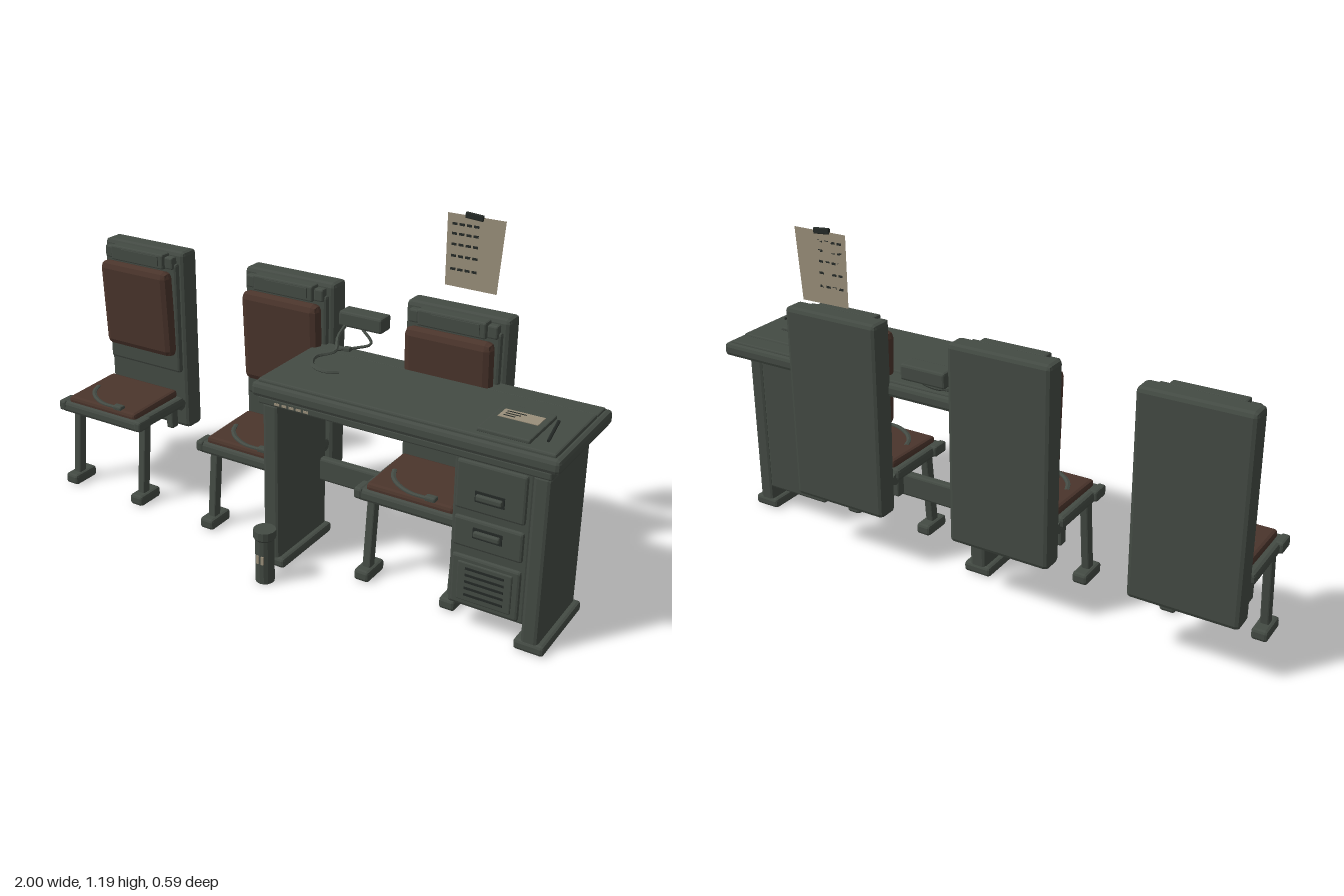
import * as THREE from 'three';
import { RoundedBoxGeometry } from 'three/addons/geometries/RoundedBoxGeometry.js';

const mat = (name, color, extra = {}) => {
  const m = new THREE.MeshStandardMaterial({ color, flatShading: true, ...extra });
  m.name = name;
  return m;
};

export function createModel() {
  const metal = mat('grey green metal', 0x444b44);
  const leather = mat('brown leather', 0x4b352c);
  const paper = mat('aged paper', 0x9a8f7a, { side: THREE.DoubleSide });
  const dark = mat('dark detail', 0x252a27);
  const root = new THREE.Group();

  const add = (parent, name, geo, material, x = 0, y = 0, z = 0) => {
    const m = new THREE.Mesh(geo, material);
    m.name = name;
    m.position.set(x, y, z);
    parent.add(m);
    return m;
  };
  // Box from its limits, with chamfered edges when c > 0
  const box = (parent, name, [x0, x1], [y0, y1], [z0, z1], c = 0, material = metal) => {
    const w = x1 - x0, h = y1 - y0, d = z1 - z0;
    const geo = c ? new RoundedBoxGeometry(w, h, d, 1, c) : new THREE.BoxGeometry(w, h, d);
    return add(parent, name, geo, material, (x0 + x1) / 2, (y0 + y1) / 2, (z0 + z1) / 2);
  };
  const tube = (parent, name, pts, r, material = metal) =>
    add(parent, name, new THREE.TubeGeometry(
      new THREE.CatmullRomCurve3(pts.map(p => new THREE.Vector3(...p))), 20, r, 6), material);

  // ---- Chairs ----
  function chair(cx) {
    const g = new THREE.Group();
    g.name = 'chair';
    g.position.x = cx;
    box(g, 'backBoard', [-0.183, 0.183], [0.2, 0.895], [-0.283, -0.203], 0.015);
    box(g, 'backFrame', [-0.165, 0.165], [0.43, 0.855], [-0.205, -0.18], 0.01);
    box(g, 'headRail', [-0.12, 0.12], [0.832, 0.888], [-0.205, -0.16], 0.006);
    box(g, 'headRailPlate', [-0.07, 0.1], [0.845, 0.88], [-0.161, -0.155], 0);
    for (const s of [-1, 1]) box(g, 'headRailEnd', [s * 0.138 - 0.018, s * 0.138 + 0.018], [0.835, 0.88], [-0.2, -0.17], 0.006);
    const back = box(g, 'backCushion', [-0.155, 0.155], [0.498, 0.832], [-0.188, -0.135], 0.025, leather);
    back.rotation.x = 0.05;

    // Seat pan, rails and cushion
    box(g, 'seatPan', [-0.182, 0.182], [0.298, 0.34], [-0.18, 0.095], 0.012);
    for (const s of [-1, 1]) {
      box(g, 'seatRail', [s * 0.178 - 0.015, s * 0.178 + 0.015], [0.303, 0.342], [0.03, 0.098], 0.008);
      const hinge = add(g, 'hinge', new THREE.CylinderGeometry(0.022, 0.022, 0.04, 8), metal, s * 0.15, 0.305, -0.178);
      hinge.rotation.z = Math.PI / 2;
      box(g, 'hingeBracket', [s * 0.15 - 0.015, s * 0.15 + 0.015], [0.225, 0.31], [-0.16, -0.125], 0.006);
      // Slanted leg and foot
      const leg = box(g, 'leg', [s * 0.156 - 0.015, s * 0.156 + 0.015], [0.02, 0.31], [0.02, 0.055], 0.005);
      leg.rotation.x = -0.1;
      box(g, 'foot', [s * 0.157 - 0.028, s * 0.157 + 0.028], [0, 0.04], [-0.012, 0.1], 0.01);
    }
    const hingeBar = add(g, 'hingeBar', new THREE.CylinderGeometry(0.012, 0.012, 0.3, 8), metal, 0, 0.305, -0.19);
    hingeBar.rotation.z = Math.PI / 2;
    const seat = box(g, 'seatCushion', [-0.157, 0.157], [0.33, 0.364], [-0.172, 0.082], 0.012, leather);
    seat.rotation.x = 0.03;

    // Loose belt and buckle
    const belt = tube(g, 'belt', [[-0.12, 0, -0.045], [-0.1, 0, 0], [-0.06, 0, 0.04], [0, 0, 0.068], [0.06, 0, 0.07]], 0.009);
    belt.scale.y = 0.5;
    belt.position.y = 0.364;
    box(g, 'buckle', [0.05, 0.09], [0.352, 0.372], [0.05, 0.078], 0.006);
    root.add(g);
  }
  [-0.807, -0.171, 0.465].forEach(chair);

  // ---- Desk ----
  const desk = new THREE.Group();
  desk.name = 'desk';
  root.add(desk);
  box(desk, 'deskTop', [-0.052, 0.995], [0.628, 0.676], [-0.22, 0.205], 0.014);
  box(desk, 'deskSurface', [-0.035, 0.975], [0.67, 0.687], [-0.135, 0.188], 0.006);
  box(desk, 'deskBackLedge', [-0.035, 0.975], [0.67, 0.683], [-0.205, -0.135], 0.005);
  box(desk, 'deskApron', [-0.03, 0.97], [0.604, 0.632], [0.17, 0.196], 0.006);
  box(desk, 'deskUnderside', [-0.02, 0.96], [0.59, 0.632], [-0.13, 0.165]);
  for (let i = 0; i < 5; i++) {
    const x = 0.035 + i * 0.027;
    box(desk, 'apronMark', [x, x + 0.018], [0.612, 0.62], [0.195, 0.198], 0, paper);
  }
  for (const [a, b] of [[-0.03, 0.03], [0.905, 0.962]]) {
    box(desk, 'sidePanel', [a, b], [0.02, 0.6], [-0.132, 0.172], 0.012);
    box(desk, 'sideFoot', [a - 0.02, b + 0.022], [0, 0.036], [-0.135, 0.176], 0.01);
  }
  box(desk, 'crossBeam', [0.02, 0.67], [0.215, 0.3], [-0.122, -0.09], 0.008);
  box(desk, 'drawerCabinet', [0.655, 0.91], [0.085, 0.605], [-0.13, 0.165], 0.008);
  for (const [y0, y1] of [[0.425, 0.588], [0.298, 0.4], [0.095, 0.268]])
    box(desk, 'drawerFront', [0.667, 0.893], [y0, y1], [0.155, 0.176], 0.008);
  for (const y of [0.482, 0.358]) {
    box(desk, 'handlePlate', [0.733, 0.828], [y - 0.018, y + 0.018], [0.174, 0.179], 0, dark);
    box(desk, 'handle', [0.738, 0.823], [y - 0.01, y + 0.01], [0.174, 0.19], 0.005);
  }
  box(desk, 'ventPanel', [0.69, 0.87], [0.115, 0.25], [0.17, 0.181], 0.004);
  for (let i = 0; i < 5; i++)
    box(desk, 'ventSlot', [0.717, 0.845], [0.135 + i * 0.023, 0.143 + i * 0.023], [0.18, 0.183], 0, dark);

  // ---- Things on the desk ----
  box(root, 'tray', [0.718, 0.885], [0.684, 0.698], [-0.04, 0.165], 0.004);
  box(root, 'note', [0.737, 0.865], [0.697, 0.7], [0.002, 0.06], 0, paper);
  for (let i = 0; i < 3; i++)
    box(root, 'noteLine', [0.75, 0.81 - i * 0.012], [0.7, 0.7012], [0.014 + i * 0.015, 0.018 + i * 0.015], 0, dark);
  const pen = add(root, 'pen', new THREE.CylinderGeometry(0.005, 0.005, 0.11, 6), dark, 0.917, 0.699, 0.07);
  pen.rotation.set(Math.PI / 2 + 0.15, 0, -0.12);

  // Wall box with cables
  box(root, 'wallBox', [0.013, 0.18], [0.742, 0.796], [-0.295, -0.227], 0.008);
  tube(root, 'cable', [[0.04, 0.75, -0.235], [0.03, 0.715, -0.2], [0.06, 0.69, -0.13],
    [0.03, 0.69, -0.06], [0.06, 0.69, 0.01], [0.12, 0.69, 0.035], [0.165, 0.69, 0.015]], 0.007);
  tube(root, 'shortCable', [[0.1, 0.75, -0.235], [0.15, 0.71, -0.215], [0.1, 0.69, -0.195], [0.05, 0.688, -0.15]], 0.005);
  box(root, 'cableClip', [0.07, 0.095], [0.68, 0.697], [-0.185, -0.165], 0.004);

  // ---- Hanging sheet ----
  const sheet = new THREE.Shape([[0.375, 1.18], [0.376, 0.94], [0.558, 0.938], [0.576, 1.18]]
    .map(p => new THREE.Vector2(...p)));
  add(root, 'hangingSheet', new THREE.ShapeGeometry(sheet), paper, 0, 0, -0.288);
  for (let r = 0; r < 5; r++)
    for (let i = 0; i < 4; i++) {
      const x = 0.393 + i * 0.025, y = [1.147, 1.115, 1.08, 1.042, 0.998][r];
      box(root, 'sheetMark', [x, x + 0.017], [y - 0.004, y + 0.004], [-0.288, -0.286], 0, dark);
    }
  const clip = box(root, 'sheetClip', [0.438, 0.5], [1.17, 1.19], [-0.291, -0.28], 0.003, dark);
  clip.rotation.z = -0.08;

  // ---- Waste bin ----
  const bin = new THREE.Group();
  bin.name = 'wasteBin';
  bin.position.set(0.035, 0, 0.26);
  root.add(bin);
  const profile = [[0, 0], [0.032, 0], [0.032, 0.158], [0.038, 0.165], [0.038, 0.193], [0, 0.193]];
  add(bin, 'binBody', new THREE.LatheGeometry(profile.map(p => new THREE.Vector2(...p)), 14), metal);
  for (const x of [-0.012, 0.006])
    box(bin, 'binMark', [x, x + 0.009], [0.075, 0.105], [0.028, 0.034], 0, paper);

  return root;
}
